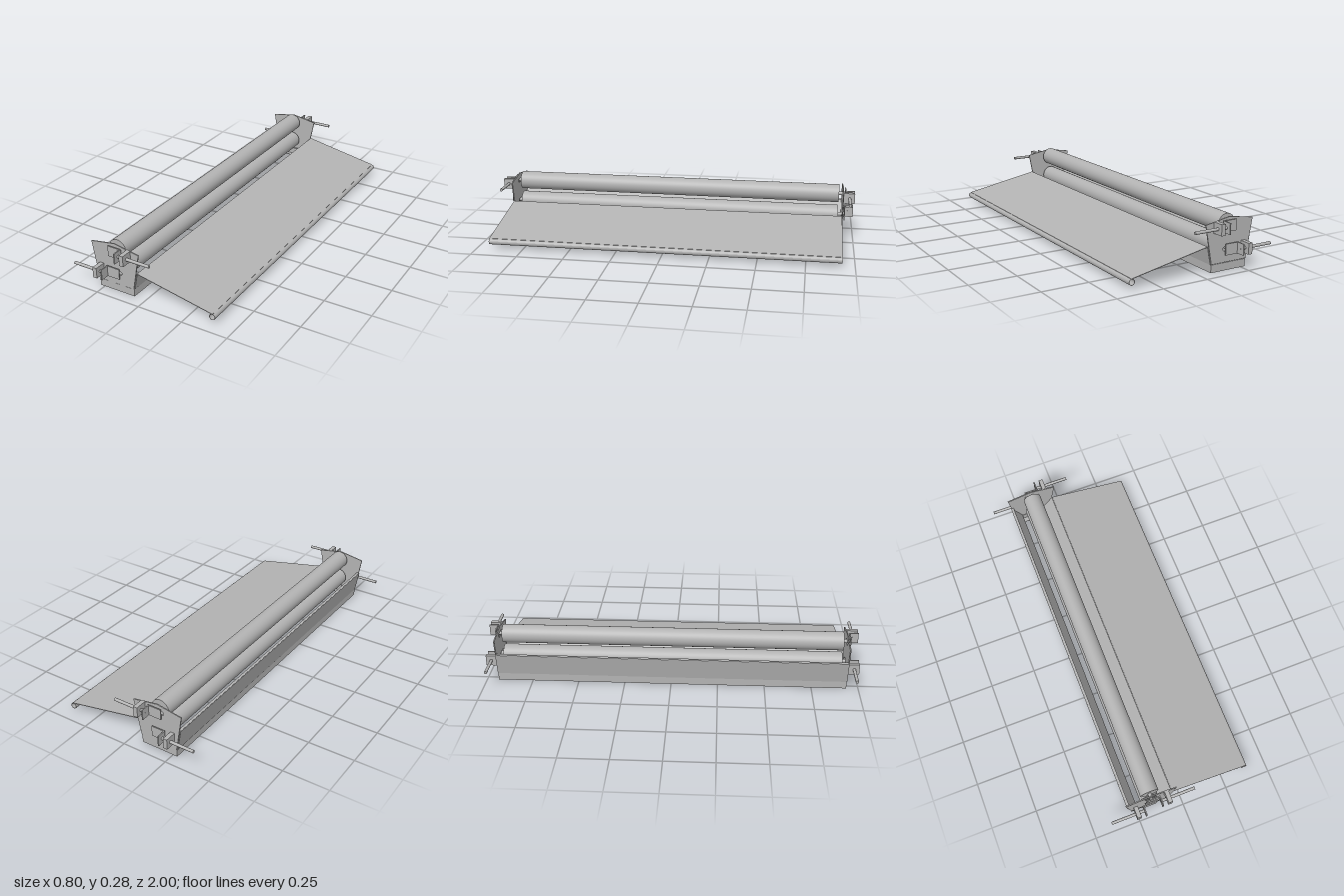
import * as THREE from 'three';

export function createModel() {
  const model = new THREE.Group();
  const steel = new THREE.MeshStandardMaterial({ color: 0xb3b3b3 });
  steel.name = 'steel grey';
  const sheetSteel = steel;

  function add(geo, name, x = 0, y = 0, z = 0, parent = model) {
    const mesh = new THREE.Mesh(geo, sheetSteel);
    mesh.name = name;
    mesh.position.set(x, y, z);
    parent.add(mesh);
    return mesh;
  }
  const box = (name, w, h, d, x, y, z, parent) => add(new THREE.BoxGeometry(w, h, d), name, x, y, z, parent);

  // Flat plate running along z between two points of the cross-section
  function strip(name, x1, y1, x2, y2, length = 1.87, thick = 0.003) {
    const mesh = box(name, Math.hypot(x2 - x1, y2 - y1), thick, length, (x1 + x2) / 2, (y1 + y2) / 2, 0);
    mesh.rotation.z = Math.atan2(y2 - y1, x2 - x1);
    return mesh;
  }
  function rodZ(name, r, length, x, y, z, parent) {
    const mesh = add(new THREE.CylinderGeometry(r, r, length, 40), name, x, y, z, parent);
    mesh.rotation.x = Math.PI / 2;
    return mesh;
  }

  // Two long rollers, one above the other, with their axles
  for (const [name, y] of [['upperRoller', 0.23], ['lowerRoller', 0.11]]) {
    rodZ(name, 0.05, 1.83, -0.17, y, 0);
    rodZ(name + 'Axle', 0.01, 1.9, -0.17, y, 0);
  }

  // Trough walls and the sloping floors inside them
  strip('leftWall', -0.299, 0.16, -0.277, 0.042);
  strip('leftWallLip', -0.299, 0.16, -0.285, 0.16);
  strip('leftFloor', -0.298, 0.158, -0.242, 0.045);
  strip('rightWall', -0.046, 0.134, -0.065, 0.042);
  strip('rightFloor', -0.048, 0.132, -0.118, 0.045);

  // Base frame, open in the middle
  for (const [side, x, inner] of [['left', -0.275, -0.247], ['right', -0.067, -0.098]]) {
    const s = Math.sign(inner - x);
    box(side + 'BaseWall', 0.004, 0.04, 1.87, x + s * 0.002, 0.02, 0);
    strip(side + 'BaseFlange', x, 0.002, inner, 0.002);
    strip(side + 'BaseTop', x, 0.0385, inner, 0.0385);
  }

  // Discharge sheet ending in a rolled hollow edge
  strip('sheet', -0.046, 0.134, 0.383, 0.051);
  const ring = new THREE.Shape().absarc(0, 0, 0.016, 0, Math.PI * 2);
  ring.holes.push(new THREE.Path().absarc(0, 0, 0.0145, 0, Math.PI * 2, true));
  add(new THREE.ExtrudeGeometry(ring, { depth: 1.87, bevelEnabled: false, curveSegments: 20 }),
    'rolledEdge', 0.38, 0.035, -0.935);

  // End plate outline with two rounded slots for the axles
  const plate = new THREE.Shape([
    [-0.31, 0.247], [-0.275, 0.043], [-0.067, 0.043], [-0.028, 0.245], [-0.17, 0.27],
  ].map(([x, y]) => new THREE.Vector2(x, y)));
  for (const [x1, x2, y] of [[-0.197, -0.15, 0.228], [-0.19, -0.145, 0.11]]) {
    const slot = new THREE.Path();
    slot.absarc(x1, y, 0.011, Math.PI / 2, Math.PI * 1.5);
    slot.absarc(x2, y, 0.011, -Math.PI / 2, Math.PI / 2);
    slot.closePath();
    plate.holes.push(slot);
  }
  const plateGeo = new THREE.ExtrudeGeometry(plate, { depth: 0.006, bevelEnabled: false });

  // Both ends: plate, base end, and an adjusting screw for each roller
  for (const s of [1, -1]) {
    const end = new THREE.Group();
    end.name = s > 0 ? 'frontEnd' : 'backEnd';
    model.add(end);
    add(plateGeo, 'endPlate', 0, 0, s > 0 ? 0.934 : -0.94, end);
    box('baseEnd', 0.208, 0.04, 0.004, -0.171, 0.02, s * 0.935, end);
    box('baseEndFlange', 0.208, 0.003, 0.028, -0.171, 0.002, s * 0.921, end);

    // dir is the side towards which the screw points
    for (const [name, dir, x, y] of [['upper', 1, -0.162, 0.228], ['lower', -1, -0.179, 0.11]]) {
      const screw = new THREE.Group();
      screw.name = name + 'Adjuster';
      screw.position.set(x, y, 0);
      end.add(screw);
      box('bearingPlate', 0.076, 0.057, 0.006, 0, 0, s * 0.951, screw);
      box('bearingFlange', 0.006, 0.057, 0.05, dir * 0.035, 0, s * 0.975, screw);
      box('screwBlock', 0.023, 0.057, 0.06, dir * 0.0755, 0, s * 0.97, screw);
      const rod = add(new THREE.CylinderGeometry(0.008, 0.008, 0.19, 24), 'screwRod', dir * 0.126, 0, s * 0.972, screw);
      rod.rotation.z = Math.PI / 2;
    }
  }
  return model;
}
